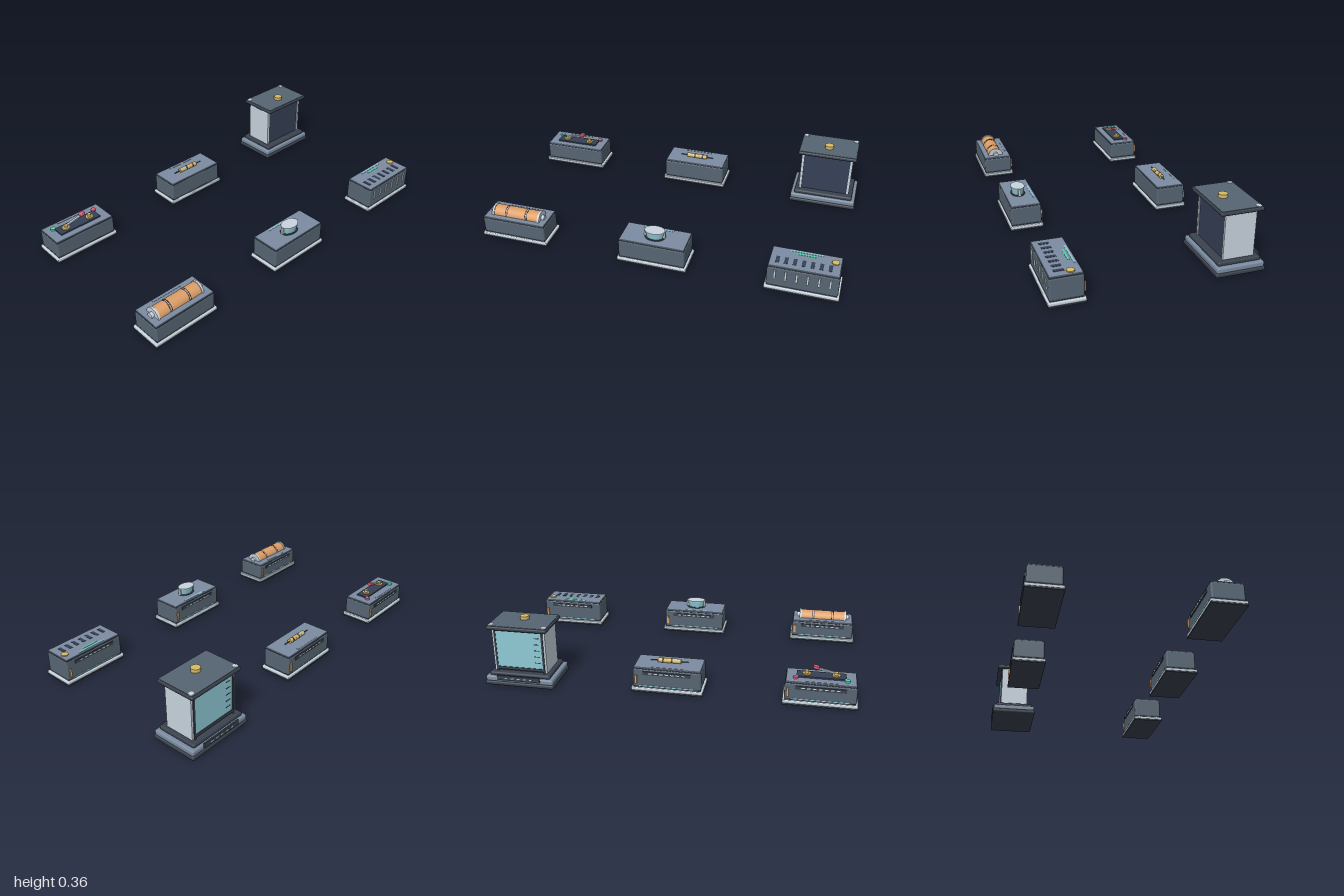
import * as THREE from 'three';
import { RoundedBoxGeometry } from 'three/addons/geometries/RoundedBoxGeometry.js';

const mat = (name, color) => {
  const m = new THREE.MeshStandardMaterial({ color });
  m.name = name;
  return m;
};

export function createModel() {
  const black = mat('charcoal', 0x3a424e), slate = mat('slate', 0x566573), steel = mat('blue steel', 0x7b8ca1);
  const light = mat('pale grey', 0xc8d4de), navy = mat('navy', 0x364056), copper = mat('copper', 0xdc9f68);
  const gold = mat('brass', 0xd9bb66), teal = mat('glass teal', 0x8fcad6), green = mat('green', 0x4fd9a6);
  const red = mat('red', 0xe05c7a);

  const put = (g, name, geo, m, x, y, z) => {
    const mesh = new THREE.Mesh(geo, m);
    mesh.name = name;
    mesh.position.set(x, y, z);
    g.add(mesh);
    return mesh;
  };
  // box given by centre x/z, and bottom and top heights
  const box = (g, name, m, w, d, y0, y1, x = 0, z = 0, r = 0) => put(g, name,
    r ? new RoundedBoxGeometry(w, y1 - y0, d, 2, r) : new THREE.BoxGeometry(w, y1 - y0, d),
    m, x, (y0 + y1) / 2, z);
  const disc = (g, name, m, r, y0, y1, x = 0, z = 0, sides = 16) =>
    put(g, name, new THREE.CylinderGeometry(r, r, y1 - y0, sides), m, x, (y0 + y1) / 2, z);
  // rod along x
  const rod = (g, name, m, r, len, x, y, z, sides = 16) => {
    const mesh = put(g, name, new THREE.CylinderGeometry(r, r, len, sides), m, x, y, z);
    mesh.rotation.z = Math.PI / 2;
    return mesh;
  };

  const root = new THREE.Group();
  root.name = 'benchModules';

  // shared housing: foot, body, lid, rear panel with ticks and contact
  function housing(name, x, z, h, stripe) {
    const g = new THREE.Group();
    g.name = name;
    g.position.set(x, 0, z);
    root.add(g);
    box(g, 'footPad', black, 0.39, 0.186, 0, 0.01, 0, 0, 0.003);
    box(g, 'foot', light, 0.388, 0.184, 0.008, 0.026, 0, 0, 0.005);
    box(g, 'footSeam', black, 0.364, 0.164, 0.024, 0.033);
    box(g, 'body', slate, 0.37, 0.17, 0.029, h - 0.007, 0, 0, 0.01);
    box(g, 'lidTrim', black, 0.364, 0.165, h - 0.012, h - 0.005, 0, 0, 0.003);
    box(g, 'lid', steel, 0.361, 0.162, h - 0.007, h, 0, 0, 0.003);
    box(g, 'lidStripe', stripe, 0.17, 0.01, h - 0.001, h + 0.0015, 0, -0.066);
    const y = h - 0.03;
    box(g, 'rearPanel', black, 0.26, 0.006, y - 0.01, y + 0.01, 0, -0.087);
    for (let i = -3; i <= 3; i++) box(g, 'rearTick', light, 0.018, 0.002, y - 0.003, y + 0.003, i * 0.03, -0.0896);
    box(g, 'rearGlow', teal, 0.3, 0.002, 0.033, 0.038, 0, -0.0855);
    box(g, 'contact', copper, 0.012, 0.01, 0.05, 0.098, 0.168, -0.088);
    return g;
  }

  // coil module
  const coil = housing('coilModule', -0.805, 0.462, 0.128, steel);
  rod(coil, 'coilWinding', copper, 0.043, 0.264, 0, 0.124, 0.007, 32);
  for (const s of [-1, 1]) {
    for (const o of [0.054, 0.064]) rod(coil, 'coilBand', black, 0.0438, 0.004, s * o, 0.124, 0.007, 32);
    rod(coil, 'coilCheek', light, 0.047, 0.012, s * 0.137, 0.124, 0.007, 32);
    rod(coil, 'coilAxle', light, 0.016, 0.02, s * 0.15, 0.134, 0.007);
  }

  // lamp module with an oval glass drum
  const lamp = housing('lampModule', 0, 0.462, 0.142, teal);
  const oval = (name, m, r0, r1, y0, y1) => {
    const o = put(lamp, name, new THREE.CylinderGeometry(r1, r0, y1 - y0, 24), m, 0, (y0 + y1) / 2, 0.007);
    o.scale.z = 0.7;
  };
  oval('lampSocket', black, 0.058, 0.056, 0.14, 0.146);
  oval('lampGlass', teal, 0.046, 0.055, 0.145, 0.184);
  oval('lampCap', light, 0.056, 0.056, 0.183, 0.187);
  for (const s of [-1, 1]) box(lamp, 'lampPost', light, 0.012, 0.014, 0.145, 0.184, s * 0.053, 0.007);

  // vented module
  const vent = housing('ventedModule', 0.805, 0.462, 0.155, teal);
  box(vent, 'indicator', green, 0.1, 0.01, 0.154, 0.1565, 0, -0.046);
  for (let i = -3; i <= 3; i++) box(vent, 'topSlot', navy, 0.019, 0.05, 0.154, 0.1565, i * 0.045 - 0.005, 0.024);
  for (let i = 0; i < 6; i++) box(vent, 'frontSlat', light, 0.011, 0.008, 0.075, 0.13, -0.142 + i * 0.0567, 0.087);
  disc(vent, 'brassButton', gold, 0.02, 0.152, 0.161, 0.15, -0.027);

  // knife switch module
  const sw = housing('switchModule', -0.805, -0.396, 0.132, steel);
  box(sw, 'switchPlate', navy, 0.256, 0.07, 0.13, 0.14, 0, 0.008);
  for (const s of [-1, 1]) {
    disc(sw, 'terminal', gold, 0.022, 0.138, 0.146, s * 0.076, 0.01);
    disc(sw, 'terminalPost', gold, 0.011, 0.146, 0.16, s * 0.076, 0.01);
    disc(sw, 'signalLamp', s < 0 ? green : red, 0.014, 0.13, 0.142, s * 0.132, -0.035);
  }
  const lever = box(sw, 'switchLever', light, 0.125, 0.012, 0.163, 0.171, -0.02, 0.01);
  lever.rotation.z = 0.22;
  const grip = box(sw, 'switchGrip', red, 0.032, 0.028, 0.174, 0.19, 0.03, 0.01, 0.004);
  grip.rotation.z = 0.22;

  // resistor module
  const res = housing('resistorModule', 0, -0.396, 0.142, steel);
  rod(res, 'resistorLead', slate, 0.003, 0.205, 0, 0.152, 0.006, 8);
  rod(res, 'resistorBody', gold, 0.013, 0.125, 0, 0.153, 0.006);
  [[-0.035, teal], [-0.012, black], [0.012, copper], [0.036, black]].forEach(([x, m]) =>
    rod(res, 'resistorBand', m, 0.0135, 0.009, x, 0.153, 0.006));

  // tall display cabinet
  const cab = new THREE.Group();
  cab.name = 'displayCabinet';
  cab.position.set(0.804, 0, -0.421);
  root.add(cab);
  box(cab, 'basePlinth', black, 0.39, 0.268, 0, 0.024, 0, 0, 0.009);
  box(cab, 'baseStep', steel, 0.382, 0.258, 0.02, 0.052, 0, 0, 0.01);
  box(cab, 'baseTray', black, 0.342, 0.232, 0.049, 0.072, 0, 0, 0.009);
  box(cab, 'core', navy, 0.276, 0.155, 0.07, 0.32, 0, -0.001);
  for (const s of [-1, 1]) {
    box(cab, 'sideWall', light, 0.014, 0.168, 0.07, 0.32, s * 0.142, -0.002);
    box(cab, 'rearPillar', black, 0.01, 0.012, 0.07, 0.318, s * 0.133, -0.086);
    disc(cab, 'roofStud', light, 0.014, 0.335, 0.343, s * 0.149, -0.092);
  }
  box(cab, 'glassPane', teal, 0.256, 0.008, 0.09, 0.318, 0, -0.085);
  box(cab, 'lowerRail', black, 0.27, 0.018, 0.082, 0.098, 0, -0.083);
  box(cab, 'upperRail', black, 0.27, 0.012, 0.306, 0.318, 0, -0.085);
  for (let i = 0; i < 5; i++) box(cab, 'gaugeTick', black, 0.03, 0.002, 0.13 + i * 0.036, 0.134 + i * 0.036, -0.1, -0.0895);
  box(cab, 'frontLip', black, 0.28, 0.02, 0.306, 0.32, 0, 0.082);
  box(cab, 'roof', black, 0.338, 0.232, 0.317, 0.339, 0, 0, 0.009);
  box(cab, 'roofPanel', slate, 0.324, 0.218, 0.336, 0.341);
  disc(cab, 'roofKnob', gold, 0.025, 0.34, 0.359, 0, 0.024, 12);
  box(cab, 'baseLatch', black, 0.24, 0.008, 0.036, 0.064, 0, -0.134);
  for (let i = -2; i <= 2; i++) box(cab, 'latchTick', teal, 0.016, 0.002, 0.046, 0.053, i * 0.035, -0.138);

  return root;
}
